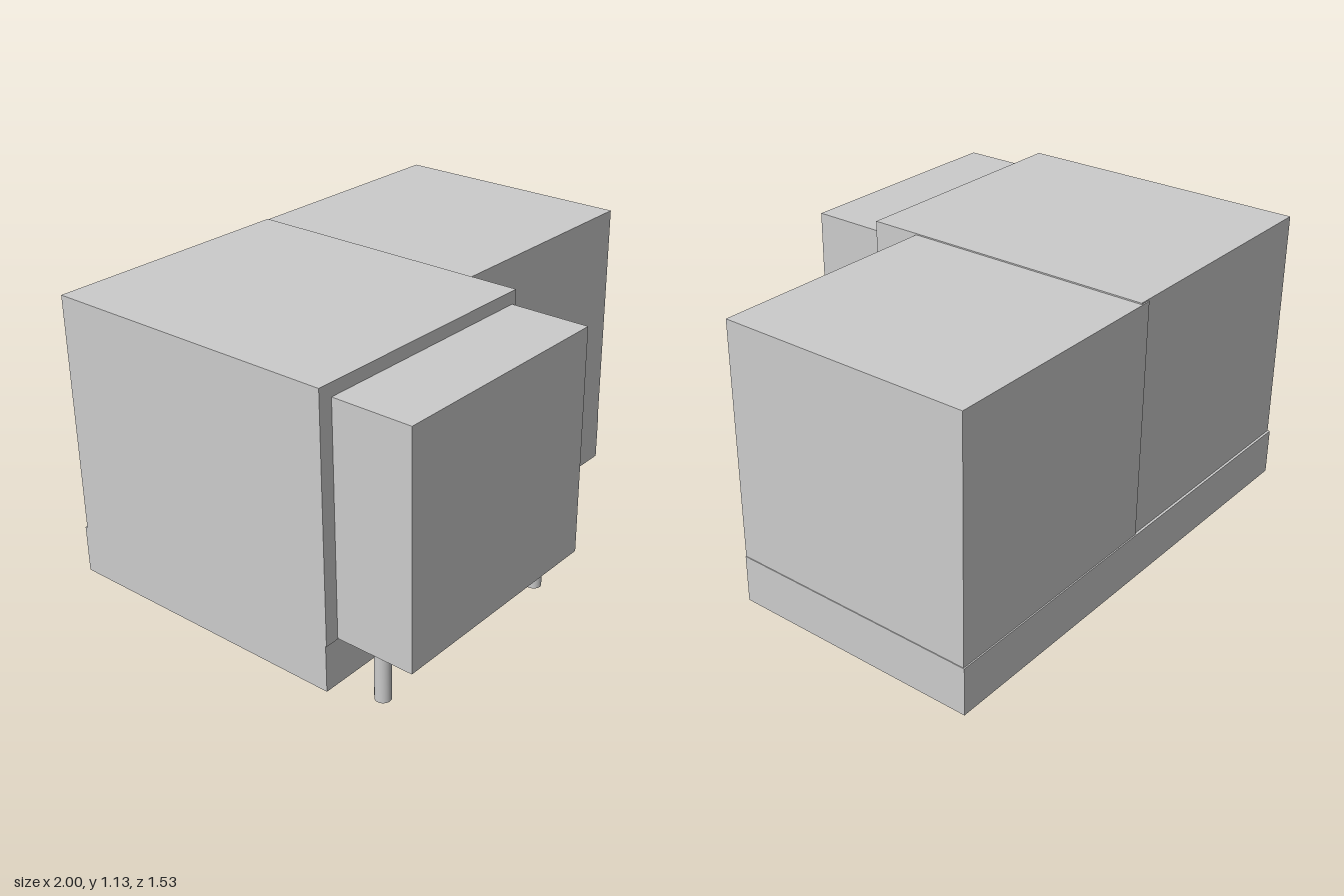
import * as THREE from 'three';

export function createModel() {
  const model = new THREE.Group();
  const material = new THREE.MeshStandardMaterial({ color: 0xcccccc });

  // Box given by its extents on each axis
  function addBox(name, [x0, x1], [y0, y1], [z0, z1], parent = model) {
    const mesh = new THREE.Mesh(new THREE.BoxGeometry(x1 - x0, y1 - y0, z1 - z0), material);
    mesh.name = name;
    mesh.position.set((x0 + x1) / 2, (y0 + y1) / 2, (z0 + z1) / 2);
    parent.add(mesh);
    return mesh;
  }

  // Main volumes: the deeper, slightly taller one overlaps its neighbour
  addBox('deepBlock', [-1, 0.04], [0.185, 1.135], [-0.757, 0.45]);
  addBox('shallowBlock', [0, 0.997], [0.188, 1.13], [-0.762, 0.248]);
  addBox('frontBay', [-0.943, 0.018], [0.188, 1.085], [0.45, 0.767]);

  // Hollow plinth of thin walls, open underneath
  const plinth = new THREE.Group();
  plinth.name = 'plinth';
  model.add(plinth);
  const t = 0.012, height = [0, 0.19], back = -0.767, front = 0.446, step = 0.248, inner = 0.015;
  addBox('backWall', [-1, 1], height, [back, back + t], plinth);
  addBox('shallowSideWall', [1 - t, 1], height, [back + t, step], plinth);
  addBox('deepSideWall', [-1, -1 + t], [0, 0.185], [back + t, front], plinth);
  addBox('shallowFrontWall', [inner - t, 1 - t], [0, 0.188], [step - t, step], plinth);
  addBox('stepWall', [inner - t, inner], [0, 0.185], [step, front], plinth);

  // Deep front wall, broken by two openings
  for (const span of [[-1 + t, -0.455], [-0.315, -0.175], [-0.07, inner - t]]) {
    addBox('deepFrontWall', span, [0, 0.185], [front - t, front], plinth);
  }

  // Round posts carrying the bay
  const postGeometry = new THREE.CylinderGeometry(0.03, 0.03, 0.185, 24);
  for (const x of [-0.91, -0.025]) {
    const post = new THREE.Mesh(postGeometry, material);
    post.name = 'bayPost';
    post.position.set(x, 0.0965, 0.618);
    model.add(post);
  }

  return model;
}
